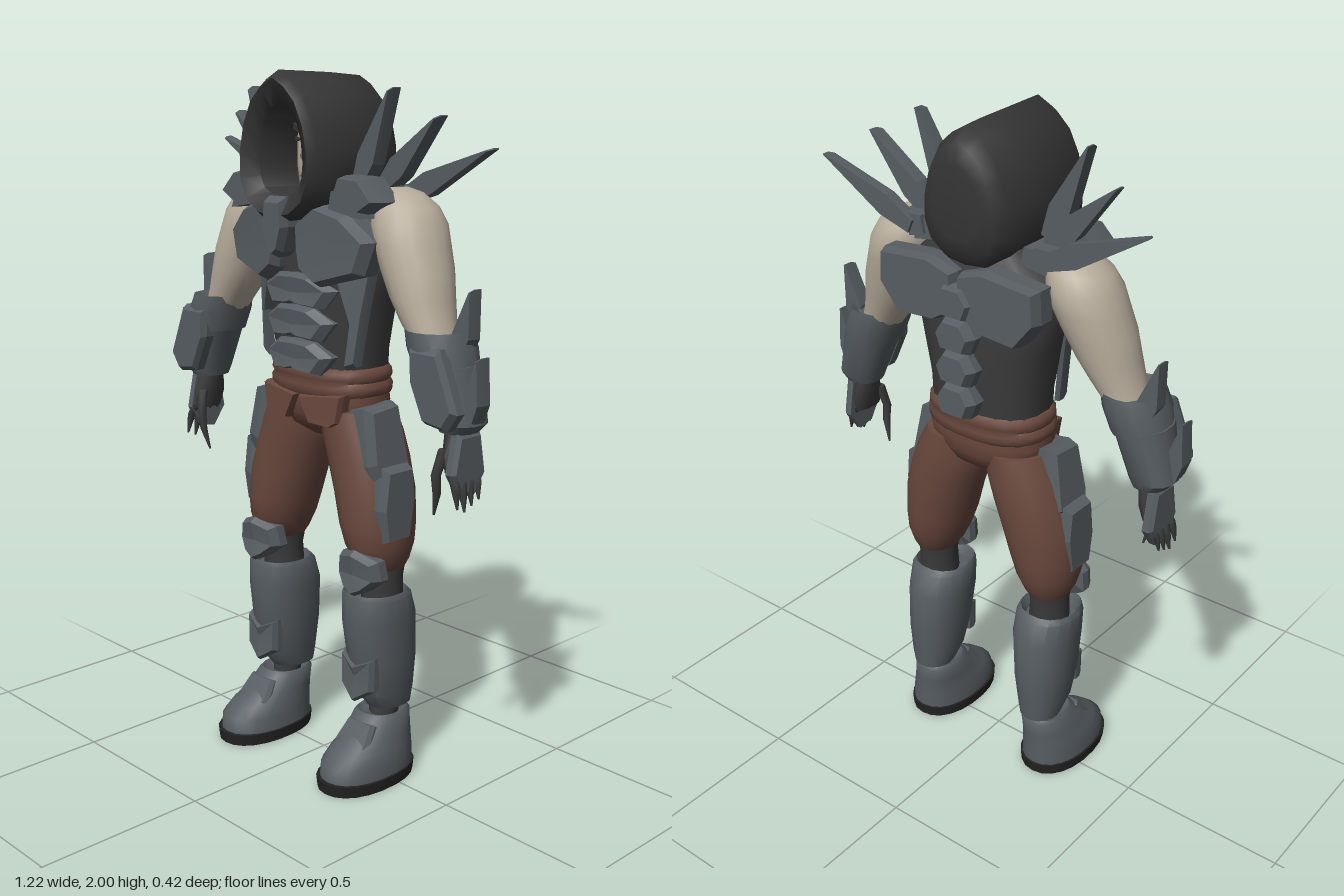
import * as THREE from 'three';
import { toCreasedNormals } from 'three/addons/utils/BufferGeometryUtils.js';

const material = (name, color) => {
  const m = new THREE.MeshStandardMaterial({ color });
  m.name = name;
  return m;
};

// Closed skin over a list of equal-length rings, wound outwards whatever their order
function skin(rings, crease = 0.9) {
  const n = rings[0].length, pos = [], idx = [];
  rings.forEach(r => r.forEach(p => pos.push(...p)));
  const cap = ring => {
    pos.push(...[0, 1, 2].map(k => ring.reduce((a, p) => a + p[k], 0) / n));
    return pos.length / 3 - 1;
  };
  const first = cap(rings[0]), last = cap(rings.at(-1)), end = (rings.length - 1) * n;
  for (let i = 0; i < n; i++) {
    const j = (i + 1) % n;
    for (let r = 0; r < end; r += n) idx.push(r + i, r + j, r + n + i, r + j, r + n + j, r + n + i);
    idx.push(first, j, i, last, end + i, end + j);
  }
  const v = k => new THREE.Vector3(pos[k * 3], pos[k * 3 + 1], pos[k * 3 + 2]);
  let volume = 0;
  for (let t = 0; t < idx.length; t += 3) volume += v(idx[t]).dot(v(idx[t + 1]).cross(v(idx[t + 2])));
  if (volume < 0) idx.reverse();
  const g = new THREE.BufferGeometry();
  g.setAttribute('position', new THREE.Float32BufferAttribute(pos, 3));
  g.setIndex(idx);
  return toCreasedNormals(g, crease);
}

// Horizontal rounded sections [x, y, z, rx, rz]; power below 1 makes them boxier
function loft(sections, n = 20, power = 1, crease = 1) {
  const f = t => Math.sign(t) * Math.abs(t) ** power;
  return skin(sections.map(([x, y, z, rx, rz]) => Array.from({ length: n }, (_, i) => {
    const a = (i + 0.5) / n * Math.PI * 2;
    return [x + rx * f(Math.cos(a)), y, z + rz * f(Math.sin(a))];
  })), crease);
}

// Bevelled armour plate facing +z, optionally bent back around the body
function plate(pts, z, depth, inset = 0.82, bend = 0) {
  const cx = pts.reduce((a, p) => a + p[0], 0) / pts.length;
  const cy = pts.reduce((a, p) => a + p[1], 0) / pts.length;
  const ring = (s, h) => pts.map(([x, y]) => {
    const px = cx + (x - cx) * s;
    return [px, cy + (y - cy) * s, z + h - bend * px * px];
  });
  return skin([ring(1, 0), ring(1, depth * 0.6), ring(inset, depth)], 0.2);
}

const both = half => [...half, ...half.filter(p => p[0] > 0).reverse().map(([x, y]) => [-x, y])];

function spike([bx, by], [tx, ty], width, z, thick) {
  const d = new THREE.Vector2(tx - bx, ty - by), l = d.length();
  const nx = -d.y / l * width, ny = d.x / l * width;
  const at = (t, w) => [bx + d.x * t + nx * w, by + d.y * t + ny * w];
  return plate([at(0, 0.6), at(0.3, 1), at(1, 0.06), at(1, -0.06), at(0.3, -1), at(0, -0.6)], z - thick / 2, thick, 0.94);
}

// Mirrored copy across x = 0 with corrected winding
function mirrored(geo) {
  const g = geo.clone().applyMatrix4(new THREE.Matrix4().makeScale(-1, 1, 1));
  for (const a of Object.values(g.attributes)) {
    const s = a.itemSize * 3, k = a.itemSize;
    for (let i = 0; i < a.array.length; i += s) {
      const p = a.array.slice(i, i + k);
      a.array.copyWithin(i, i + 2 * k, i + s);
      a.array.set(p, i + 2 * k);
    }
  }
  return g;
}

export function createModel() {
  const root = new THREE.Group();
  root.name = 'armouredFigure';
  const armour = material('steel armour', 0x575d62), cloth = material('hood cloth', 0x353535);
  const suit = material('dark suit', 0x3b3b3c), skinTone = material('skin', 0xb8ad9c);
  const leather = material('brown trousers', 0x69483d), rubber = material('sole', 0x232323);
  const dark = material('face lines', 0x3a332f);
  const add = (name, geo, mat) => {
    const m = new THREE.Mesh(geo, mat);
    m.name = name;
    root.add(m);
  };
  const pair = (name, geo, mat) => {
    add(name + 'Left', geo, mat);
    add(name + 'Right', mirrored(geo), mat);
  };

  // Hood: outer shell, rim and hollow inside
  const outer = both([[0, 2], [0.05, 1.975], [0.095, 1.935], [0.13, 1.87], [0.15, 1.79], [0.15, 1.71], [0.125, 1.65], [0.07, 1.61], [0, 1.6]]);
  const inner = both([[0, 1.92], [0.035, 1.9], [0.062, 1.87], [0.08, 1.82], [0.087, 1.76], [0.082, 1.72], [0.066, 1.69], [0.035, 1.675], [0, 1.67]]);
  const at = (c, z, sx, sy) => c.map(([x, y]) => [x * sx, 1.8 + (y - 1.8) * sy, z]);
  const rim = outer.map(([x, y], i) => [x * 0.75 + inner[i][0] * 0.25, y * 0.75 + inner[i][1] * 0.25, 0.19]);
  add('hood', skin([at(outer, -0.18, 0.5, 0.5), at(outer, -0.17, 0.74, 0.78), at(outer, -0.135, 0.89, 0.93),
    at(outer, -0.02, 0.98, 0.97), at(outer, 0.165, 1, 1), rim, at(inner, 0.16, 1, 1), at(inner, -0.06, 1.12, 1.05)], 1.1), cloth);

  // Head and face
  add('head', loft([[0, 1.6, -0.02, 0.06, 0.06], [0, 1.67, -0.005, 0.045, 0.055], [0, 1.695, -0.005, 0.068, 0.068], [0, 1.75, -0.015, 0.084, 0.078],
    [0, 1.83, -0.02, 0.088, 0.078], [0, 1.89, -0.025, 0.08, 0.07], [0, 1.94, -0.03, 0.035, 0.03]], 20, 0.85), skinTone);
  add('nose', plate([[-0.009, 1.835], [0.009, 1.835], [0.02, 1.765], [0, 1.757], [-0.02, 1.765]], 0.052, 0.03, 0.45), skinTone);
  add('mouth', plate([[-0.03, 1.718], [0, 1.724], [0.03, 1.718], [0, 1.71]], 0.06, 0.008, 0.9, 2), dark);
  pair('brow', plate([[0.01, 1.84], [0.06, 1.86], [0.066, 1.845], [0.012, 1.824]], 0.058, 0.009, 0.9, 2), dark);
  pair('eye', plate([[0.02, 1.818], [0.052, 1.822], [0.046, 1.81]], 0.059, 0.008, 0.9, 2), dark);

  // Torso
  add('torso', loft([[0, 1.12, -0.03, 0.175, 0.12], [0, 1.25, -0.03, 0.18, 0.125], [0, 1.4, -0.03, 0.21, 0.132],
    [0, 1.53, -0.03, 0.24, 0.13], [0, 1.61, -0.03, 0.22, 0.12], [0, 1.67, -0.03, 0.13, 0.09], [0, 1.7, -0.03, 0.08, 0.07]], 20, 0.8), suit);
  pair('chestPlate', plate([[0.035, 1.6], [0.09, 1.66], [0.2, 1.63], [0.28, 1.56], [0.25, 1.47], [0.11, 1.43], [0.05, 1.47], [0.04, 1.52]], 0.08, 0.075, 0.86, 0.6), armour);
  add('collarPlate', plate(both([[0.035, 1.67], [0.042, 1.59], [0.02, 1.52], [0, 1.505]]), 0.13, 0.067, 0.82), armour);
  [[1.41, 0.145], [1.32, 0.135], [1.225, 0.13]].forEach(([y, w], i) => add('bellyPlate' + (i + 1),
    plate(both([[0, y + 0.05], [0.07, y + 0.045], [w, y + 0.008], [w - 0.04, y - 0.045], [0.03, y - 0.04], [0, y - 0.032]]), 0.08, 0.05, 0.8, 1.2), armour));
  pair('ribPlate', plate([[0.14, 1.45], [0.225, 1.48], [0.205, 1.36], [0.185, 1.21], [0.16, 1.2], [0.175, 1.33]], 0.08, 0.035, 0.9, 1.4), armour);

  // Back armour and spine
  pair('backPlate', plate([[0.005, 1.61], [0.09, 1.635], [0.26, 1.62], [0.265, 1.53], [0.2, 1.45], [0.07, 1.46], [0.005, 1.5]], 0.12, 0.075, 0.92).rotateY(Math.PI), armour);
  for (let i = 0; i < 4; i++) {
    const y = 1.53 - i * 0.096;
    add('spinePlate' + (i + 1), plate(both([[0.035, y + 0.05], [0.065, y + 0.005], [0.045, y - 0.045]]), 0.14, 0.07, 0.78).rotateY(Math.PI), armour);
  }

  // Shoulder straps, mounts and blades
  pair('shoulderStrap', plate([[0.14, 1.64], [0.15, 1.69], [0.23, 1.69], [0.26, 1.62]], -0.09, 0.21, 0.95), armour);
  pair('shoulderMount', plate([[0.14, 1.66], [0.17, 1.73], [0.25, 1.725], [0.31, 1.665], [0.25, 1.63]], 0.02, 0.1, 0.85), armour);
  pair('rearMount', plate([[0.18, 1.65], [0.19, 1.7], [0.26, 1.7], [0.29, 1.66], [0.25, 1.63]], -0.1, 0.09, 0.9), armour);
  pair('innerBlade', spike([0.16, 1.69], [0.28, 1.955], 0.033, 0.015, 0.045), armour);
  pair('middleBlade', spike([0.2, 1.69], [0.4, 1.885], 0.033, -0.035, 0.045), armour);
  pair('outerBlade', spike([0.22, 1.665], [0.53, 1.805], 0.033, -0.092, 0.035), armour);

  // Arms
  pair('upperArm', loft([[0.47, 1.22, 0, 0.05, 0.06], [0.42, 1.32, 0, 0.062, 0.072], [0.395, 1.365, -0.003, 0.073, 0.08], [0.37, 1.42, -0.008, 0.084, 0.092],
    [0.343, 1.49, -0.015, 0.098, 0.1], [0.318, 1.55, -0.022, 0.1, 0.106], [0.3, 1.605, -0.028, 0.1, 0.106], [0.285, 1.65, -0.03, 0.088, 0.088],
    [0.265, 1.685, -0.03, 0.06, 0.06], [0.255, 1.698, -0.03, 0.025, 0.03]]), skinTone);
  pair('elbowGuard', loft([[0.475, 1.235, 0.005, 0.082, 0.088], [0.455, 1.3, 0.005, 0.087, 0.097], [0.44, 1.345, 0.005, 0.082, 0.092], [0.445, 1.33, 0.005, 0.062, 0.07]], 14, 0.9, 0.6), armour);
  pair('bracer', loft([[0.515, 1.085, 0, 0.05, 0.055], [0.522, 1.11, 0, 0.066, 0.068], [0.475, 1.26, 0.005, 0.081, 0.087]], 14, 0.9, 0.6), armour);
  pair('bracerPlate', plate([[0.42, 1.31], [0.52, 1.31], [0.585, 1.15], [0.55, 1.1], [0.475, 1.11], [0.425, 1.22]], 0.06, 0.045, 0.86), armour);
  pair('elbowBlade', spike([0.5, 1.28], [0.54, 1.455], 0.03, -0.02, 0.045), armour);
  pair('forearmBlade', spike([0.575, 1.12], [0.6, 1.29], 0.026, 0.015, 0.05), armour);

  // Hands
  pair('palm', loft([[0.525, 0.98, 0.01, 0.022, 0.05], [0.52, 1.03, 0.005, 0.03, 0.056], [0.51, 1.1, 0, 0.032, 0.035]], 10), suit);
  pair('handPlate', plate([[-0.045, 1.09], [0.04, 1.09], [0.062, 0.97], [0.02, 0.91], [-0.03, 0.92], [-0.068, 0.98]], 0.53, 0.03, 0.85).rotateY(Math.PI / 2), armour);
  for (let i = 0; i < 4; i++) {
    const z = 0.052 - i * 0.028, d = Math.abs(i - 1) * 0.012;
    pair('finger' + (i + 1), loft([[0.53, 0.99, z, 0.014, 0.013], [0.55, 0.955, z, 0.014, 0.013], [0.557, 0.92 + d, z + 0.003, 0.011, 0.01], [0.565, 0.88 + d, z + 0.006, 0.003, 0.003]], 7), suit);
  }
  pair('thumb', loft([[0.505, 1.04, 0.045, 0.018, 0.016], [0.49, 0.97, 0.06, 0.014, 0.013], [0.49, 0.92, 0.055, 0.012, 0.011], [0.472, 0.855, 0.045, 0.003, 0.003]], 7), suit);

  // Trousers and belt
  add('hips', loft([[0, 0.99, -0.03, 0.04, 0.06], [0, 1.02, -0.03, 0.13, 0.1], [0, 1.06, -0.03, 0.185, 0.118], [0, 1.1, -0.03, 0.192, 0.123], [0, 1.16, -0.03, 0.182, 0.12]], 20, 0.85), leather);
  pair('thigh', loft([[0.212, 0.63, -0.03, 0.058, 0.07], [0.21, 0.655, -0.027, 0.073, 0.088], [0.205, 0.7, -0.025, 0.089, 0.108], [0.196, 0.76, -0.025, 0.103, 0.116],
    [0.178, 0.85, -0.03, 0.113, 0.119], [0.15, 0.94, -0.033, 0.117, 0.119], [0.126, 1.01, -0.033, 0.114, 0.118], [0.11, 1.08, -0.03, 0.09, 0.115]], 24), leather);
  add('belt', loft([[0, 1.115, -0.03, 0.184, 0.124], [0, 1.125, -0.03, 0.194, 0.13], [0, 1.145, -0.03, 0.196, 0.132], [0, 1.158, -0.03, 0.187, 0.128],
    [0, 1.167, -0.03, 0.192, 0.133], [0, 1.185, -0.03, 0.19, 0.133], [0, 1.198, -0.03, 0.18, 0.125]], 24, 0.85), leather);
  pair('frontFlap', plate([[0.004, 1.115], [0.16, 1.13], [0.145, 1.05], [0.12, 1.035], [0.045, 1.04]], 0.07, 0.04, 0.92, 0.8), leather);

  // Thigh plates on the outer sides
  const sidePlate = (pts, x, y, tilt, depth) => plate(pts, 0.025 - depth, depth, 0.88).rotateY(Math.PI / 2).rotateZ(tilt).translate(x, y, 0);
  pair('upperThighPlate', sidePlate([[-0.05, 0.1], [0.06, 0.11], [0.075, -0.08], [0.04, -0.11], [-0.045, -0.11], [-0.06, -0.06]], 0.235, 1.0, 0.18, 0.085), armour);
  pair('lowerThighPlate', sidePlate([[-0.04, 0.12], [0.06, 0.12], [0.07, 0.02], [0.05, -0.1], [-0.04, -0.1], [-0.055, 0]], 0.276, 0.82, 0, 0.07), armour);

  // Lower legs
  pair('knee', loft([[0.21, 0.5, -0.03, 0.06, 0.065], [0.212, 0.6, -0.03, 0.055, 0.062], [0.21, 0.67, -0.03, 0.065, 0.075]]), suit);
  pair('kneePad', plate([[-0.07, 0.68], [0, 0.7], [0.07, 0.675], [0.078, 0.62], [0.04, 0.585], [0, 0.565], [-0.04, 0.585], [-0.08, 0.62]], 0.058, 0.045, 0.82, 5).translate(0.213, 0, 0), armour);
  pair('shinGuard', loft([[0.21, 0.205, -0.06, 0.058, 0.07], [0.21, 0.25, -0.045, 0.07, 0.09], [0.207, 0.35, -0.035, 0.083, 0.108], [0.203, 0.48, -0.026, 0.092, 0.114],
    [0.203, 0.55, -0.015, 0.093, 0.1], [0.203, 0.565, -0.01, 0.085, 0.09], [0.205, 0.535, -0.015, 0.068, 0.075]], 16, 0.9, 0.6), armour);
  pair('shinPlate', plate([[-0.062, 0.38], [0, 0.35], [0.062, 0.38], [0.06, 0.28], [0, 0.24], [-0.06, 0.28]], 0.055, 0.032, 0.88, 5).translate(0.207, 0, 0), armour);
  pair('ankle', loft([[0.212, 0.17, -0.04, 0.04, 0.045], [0.212, 0.24, -0.045, 0.045, 0.045]]), suit);

  // Boots
  pair('boot', loft([[0.222, 0.03, 0.04, 0.096, 0.157], [0.222, 0.075, 0.038, 0.094, 0.154], [0.22, 0.105, 0.02, 0.087, 0.136], [0.217, 0.14, -0.01, 0.077, 0.107],
    [0.212, 0.185, -0.033, 0.071, 0.086], [0.212, 0.195, -0.035, 0.062, 0.076], [0.212, 0.18, -0.035, 0.05, 0.06]], 22, 0.9), armour);
  pair('sole', loft([[0.222, 0, 0.043, 0.099, 0.162], [0.222, 0.034, 0.043, 0.102, 0.166]], 22, 0.9), rubber);
  pair('instepPlate', plate([[-0.05, 0.06], [0.05, 0.06], [0.065, -0.02], [0, -0.06], [-0.065, -0.02]], 0, 0.02, 0.85, 6)
    .rotateX(-0.75).translate(0.217, 0.132, 0.093), armour);
  return root;
}
